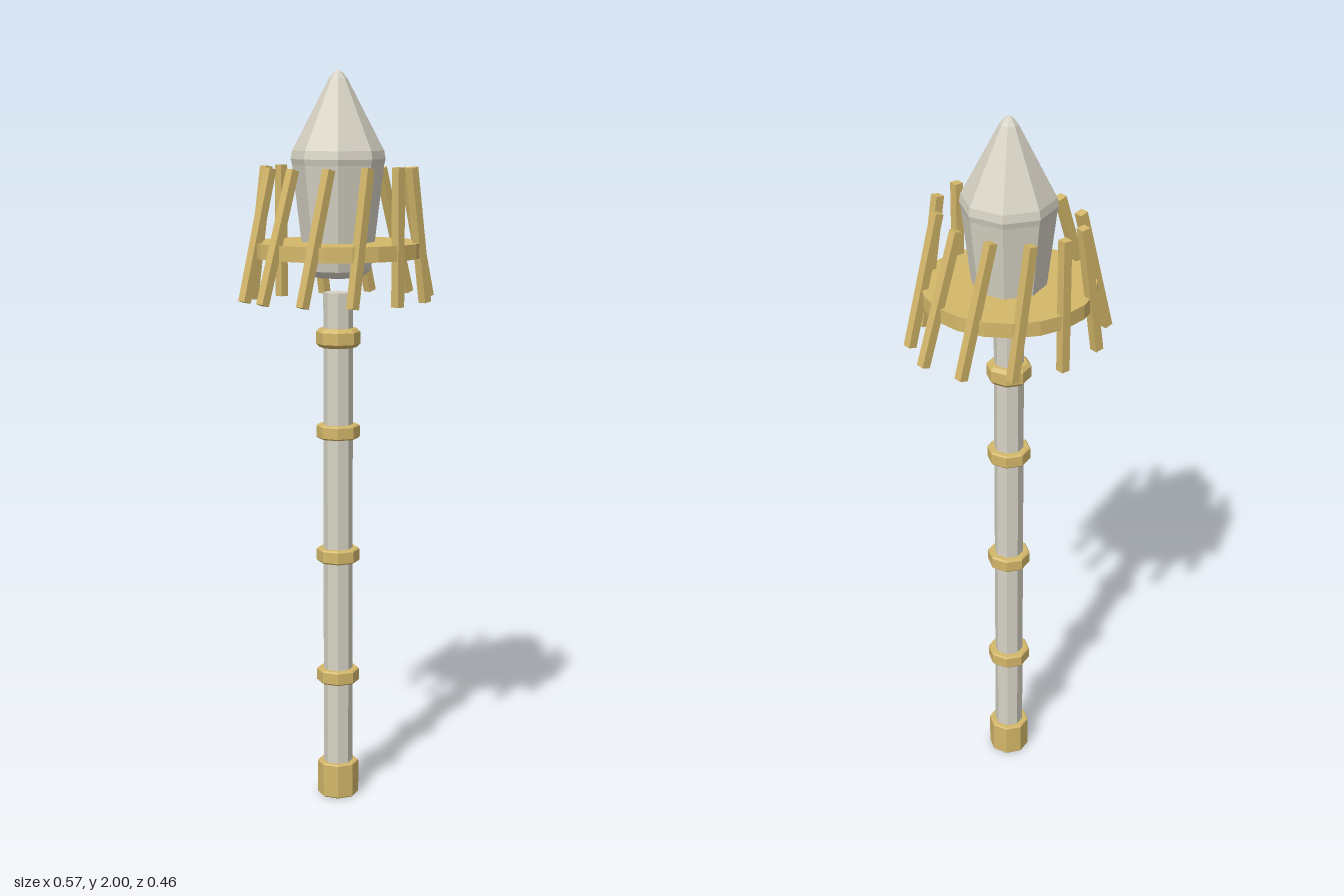
import * as THREE from 'three';

const gold = new THREE.MeshStandardMaterial({ color: 0xd4b76a, flatShading: true });
gold.name = 'gold';
const stone = new THREE.MeshStandardMaterial({ color: 0xd6d2c4, flatShading: true });
stone.name = 'pale stone';

// Faceted turned solid from [radius, y] pairs, listed bottom to top
function turned(name, profile, material, sides = 8) {
  const points = profile.map(([r, y]) => new THREE.Vector2(r, y));
  const mesh = new THREE.Mesh(new THREE.LatheGeometry(points, sides), material);
  mesh.name = name;
  return mesh;
}

// Collar with chamfered rims
function collar(name, r, y0, y1, c) {
  return turned(name, [[0, y0], [r - c, y0], [r, y0 + c], [r, y1 - c], [r - c, y1], [0, y1]], gold);
}

export function createModel() {
  const model = new THREE.Group();
  model.name = 'mace';

  // Handle: shaft, pommel and four collars
  model.add(turned('shaft', [[0, 0.05], [0.04, 0.05], [0.04, 1.415], [0, 1.415]], stone));
  model.add(collar('pommel', 0.057, 0, 0.097, 0.003));
  for (const y of [0.348, 0.692, 1.037]) model.add(collar('collar', 0.059, y - 0.019, y + 0.019, 0.004));
  model.add(collar('topCollar', 0.06, 1.267, 1.319, 0.01));

  // Pointed head, floating just above the shaft
  model.add(turned('head', [
    [0, 1.452], [0.065, 1.456], [0.086, 1.474], [0.092, 1.5],
    [0.122, 1.752], [0.126, 1.768], [0.122, 1.79],
    [0.024, 1.978], [0.012, 1.993], [0, 2.0],
  ], stone));

  // Disc around the head
  const disc = new THREE.Mesh(new THREE.CylinderGeometry(0.228, 0.228, 0.04, 20), gold);
  disc.name = 'disc';
  disc.position.y = 1.53;
  // corners of the disc lie on the x axis
  model.add(disc);

  // Twelve bars round the rim, leaning sideways only
  const barGeometry = new THREE.BoxGeometry(0.024, 0.36, 0.024);
  for (let i = 0; i < 12; i++) {
    const angle = (i / 12) * Math.PI * 2;
    const bar = new THREE.Mesh(barGeometry, gold);
    bar.name = 'bar';
    bar.position.set(0.22 * Math.cos(angle), 1.57, 0.22 * Math.sin(angle) - 0.001);
    bar.rotation.z = 0.31 * Math.cos(angle);
    model.add(bar);
  }
  return model;
}
